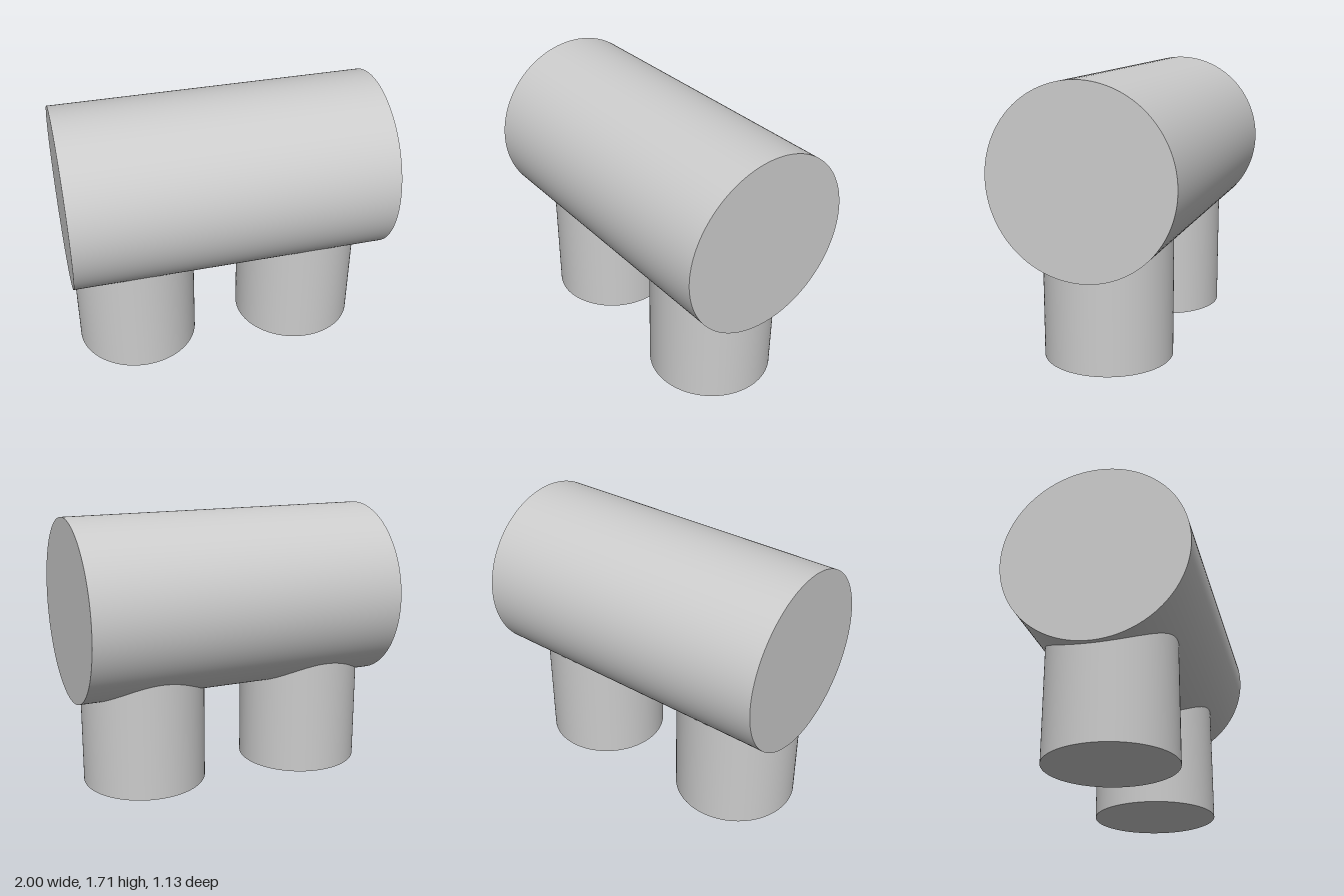
import * as THREE from 'three';

const BODY_R = 0.566, BODY_Y = 1.141, LEG_R = 0.394;

export function createModel() {
  const group = new THREE.Group();
  const material = new THREE.MeshStandardMaterial({ color: 0xcccccc });

  // Horizontal drum lying along x
  const bodyGeometry = new THREE.CylinderGeometry(BODY_R, BODY_R, 2, 128);
  bodyGeometry.rotateZ(Math.PI / 2);
  const body = new THREE.Mesh(bodyGeometry, material);
  body.name = 'body';
  body.position.y = BODY_Y;
  group.add(body);

  // Upright round legs, their top rims shaped to meet the underside of the drum
  const addLeg = (name, x) => {
    const wall = new THREE.CylinderGeometry(LEG_R, LEG_R, 1, 96, 1, true);
    const pos = wall.attributes.position;
    for (let i = 0; i < pos.count; i++) {
      const z = pos.getZ(i);
      const rim = BODY_Y - Math.sqrt(BODY_R ** 2 - z ** 2) + 0.001;
      pos.setY(i, pos.getY(i) > 0 ? rim : 0);
    }
    const base = new THREE.CircleGeometry(LEG_R, 96);
    base.rotateX(Math.PI / 2);

    const leg = new THREE.Group();
    leg.name = name;
    const wallMesh = new THREE.Mesh(wall, material);
    wallMesh.name = 'legWall';
    const baseMesh = new THREE.Mesh(base, material);
    baseMesh.name = 'legBase';
    leg.add(wallMesh, baseMesh);
    leg.position.x = x;
    group.add(leg);
  };
  addLeg('rightLeg', -0.573);
  addLeg('leftLeg', 0.538);

  return group;
}
